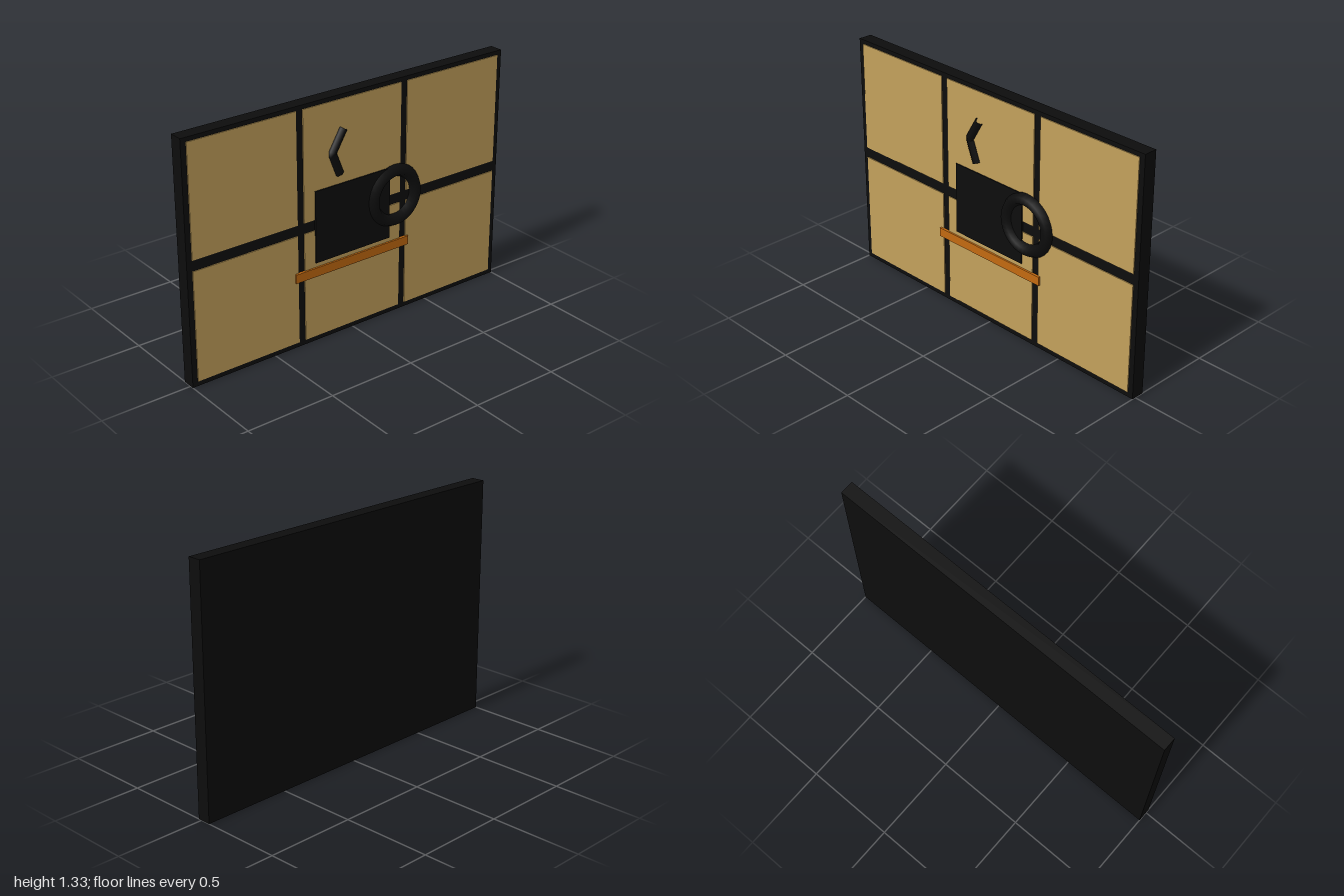
import * as THREE from 'three';

export function createModel() {
  const group = new THREE.Group();
  const mat = (name, color) => {
    const m = new THREE.MeshStandardMaterial({ color });
    m.name = name;
    return m;
  };
  const black = mat('black', 0x0d0d0d);
  const tan = mat('tan', 0xc4a15c);
  const orange = mat('orange', 0xc46a10);

  const add = (name, geometry, material, x, y, z) => {
    const mesh = new THREE.Mesh(geometry, material);
    mesh.name = name;
    mesh.position.set(x, y, z);
    group.add(mesh);
    return mesh;
  };
  // Box given by its centre in x and y, and its back and front in z
  const box = (name, material, w, h, x, y, back, front) =>
    add(name, new THREE.BoxGeometry(w, h, front - back), material, x, y, (back + front) / 2);

  // Backing board
  box('board', black, 2, 1.33, 0, 0.665, -0.055, 0.02);

  // Six window panes, three across and two up
  for (const x of [-0.66, 0, 0.66]) {
    for (const y of [0.333, 1.002]) {
      box('pane', tan, 0.62, 0.61, x, y, 0.015, 0.025);
    }
  }

  // Cup with its ring handle
  box('cup', black, 0.48, 0.4, -0.003, 0.655, 0.01, 0.031);
  add('handle', new THREE.TorusGeometry(0.14, 0.035, 6, 32), black, 0.27, 0.69, 0.025);

  // Saucer
  box('saucer', orange, 0.735, 0.05, -0.003, 0.405, 0.015, 0.035);

  // Bent wisp of steam
  const steamPath = new THREE.CurvePath();
  const points = [[-0.066, 1.152], [-0.137, 1.033], [-0.089, 0.911]]
    .map(([x, y]) => new THREE.Vector3(x, y, 0));
  steamPath.add(new THREE.LineCurve3(points[0], points[1]));
  steamPath.add(new THREE.LineCurve3(points[1], points[2]));
  const steamMaterial = black.clone();
  steamMaterial.side = THREE.DoubleSide;
  add('steam', new THREE.TubeGeometry(steamPath, 16, 0.024, 6), steamMaterial, 0, 0, 0.026);

  return group;
}
